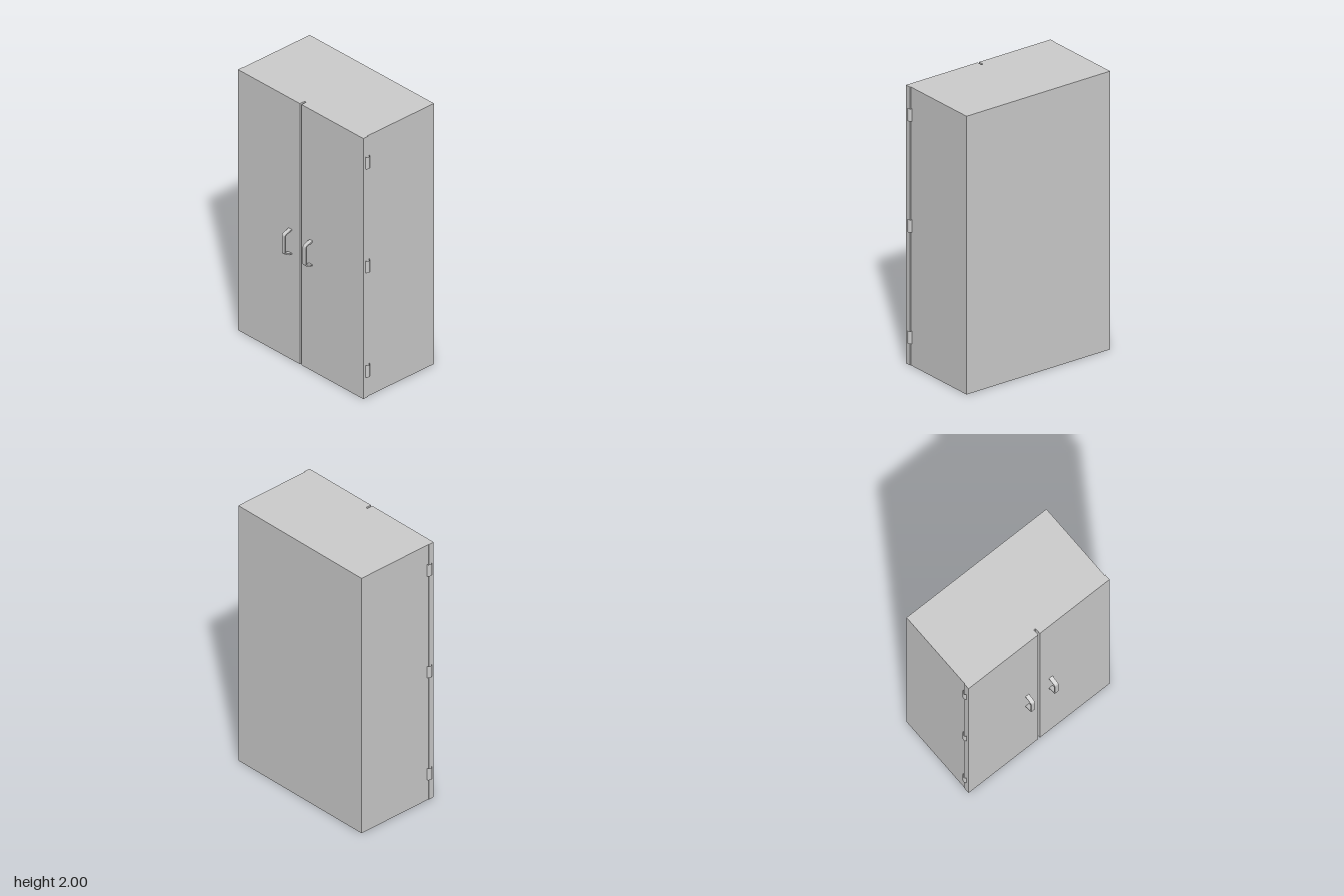
import * as THREE from 'three';

export function createModel() {
  const model = new THREE.Group();
  const grey = new THREE.MeshStandardMaterial({ color: 0xcccccc, side: THREE.DoubleSide });

  const add = (name, geometry, x = 0, y = 0, z = 0, parent = model) => {
    const mesh = new THREE.Mesh(geometry, grey);
    mesh.name = name;
    mesh.position.set(x, y, z);
    parent.add(mesh);
    return mesh;
  };
  // Box given by its two extreme corners
  const box = (name, x0, x1, y0, y1, z0, z1, parent) =>
    add(name, new THREE.BoxGeometry(x1 - x0, y1 - y0, z1 - z0),
      (x0 + x1) / 2, (y0 + y1) / 2, (z0 + z1) / 2, parent);

  // Hollow carcass
  const back = -0.353, mid = 0.246, front = 0.29;
  const left = -0.597, right = 0.594, wall = 0.02;
  const carcass = new THREE.Group();
  carcass.name = 'carcass';
  model.add(carcass);
  box('sidePanel', left, left + wall, 0, 2, back, mid, carcass);
  box('sidePanel', right - wall, right, 0, 2, back, mid, carcass);
  box('backPanel', left + wall, right - wall, 0, 2, back, back + wall, carcass);
  box('bottomPanel', left + wall, right - wall, 0, 0.07, back + wall, mid, carcass);
  box('topPanel', left + wall, right - wall, 1.93, 2, back + wall, mid, carcass);
  for (const y of [1.585, 1.4])
    box('shelf', left + wall, right - wall, y - 0.015, y + 0.015, back + wall, mid - 0.02, carcass);

  // Bent strap handle: profile in (z, y), extruded across x
  const strap = new THREE.Shape();
  strap.moveTo(0, 1);
  strap.lineTo(0.046, 0.985);
  strap.quadraticCurveTo(0.062, 0.979, 0.062, 0.963);
  strap.lineTo(0.062, 0.843);
  strap.quadraticCurveTo(0.062, 0.827, 0.046, 0.822);
  strap.lineTo(0, 0.807);
  strap.lineTo(0, 0.817);
  strap.lineTo(0.043, 0.831);
  strap.quadraticCurveTo(0.053, 0.834, 0.053, 0.846);
  strap.lineTo(0.053, 0.96);
  strap.quadraticCurveTo(0.053, 0.972, 0.043, 0.976);
  strap.lineTo(0, 0.99);
  const handleGeometry = new THREE.ExtrudeGeometry(strap, { depth: 0.03, bevelEnabled: false, curveSegments: 6 });
  handleGeometry.translate(0, 0, -0.015);
  handleGeometry.rotateY(-Math.PI / 2);
  // Turned so that the profile's first axis points forwards (+z)

  // Open-ended hinge barrel
  const hingeGeometry = new THREE.CylinderGeometry(0.021, 0.021, 0.092, 16, 1, true);

  // Doors with handles and hinges, mirrored
  for (const side of [-1, 1]) {
    const inner = side * 0.007, outer = side * 0.6;
    box('door', Math.min(inner, outer), Math.max(inner, outer), 0, 2, mid, front);
    add('handle', handleGeometry, side * 0.1, 0, front);
    for (const y of [0.204, 1.005, 1.803]) add('hinge', hingeGeometry, side * 0.592, y, 0.252);
  }
  return model;
}
